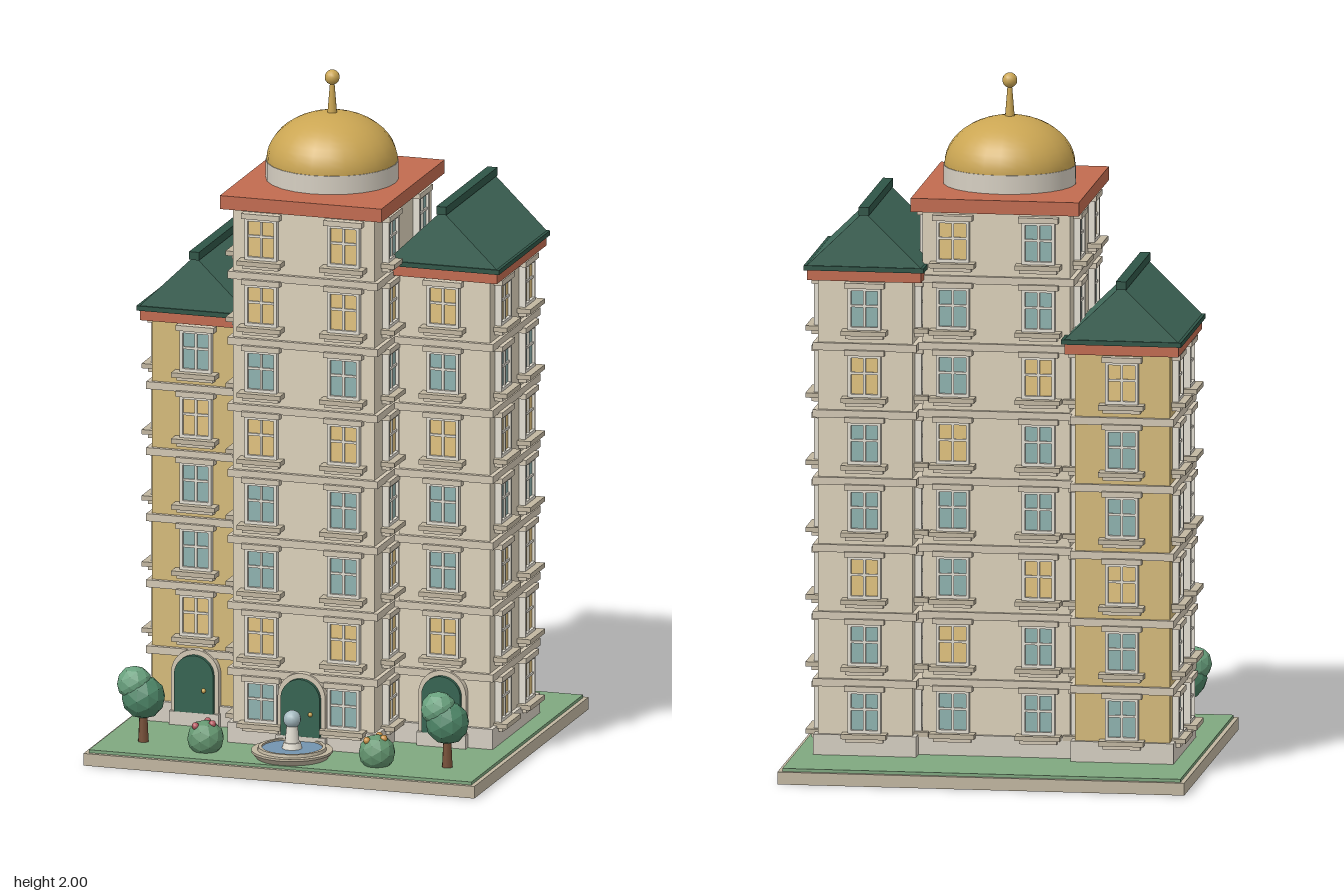
import * as THREE from 'three';

const mat = (color, flatShading = false) => new THREE.MeshStandardMaterial({ color, flatShading });
const M = {
  stone: mat(0xc2b7a1), cream: mat(0xddd2bb), trim: mat(0xd3c8b4), ochre: mat(0xd6bb7b),
  white: mat(0xe4dfd3), plinth: mat(0xd6cfc2), grass: mat(0x80a880), terracotta: mat(0xc26b50),
  roof: mat(0x40695a), ridge: mat(0x2f5547), door: mat(0x356452), gold: mat(0xcba653),
  lit: mat(0xe2c37f), glass: mat(0x8fb3b0), water: mat(0x7394b0), ball: mat(0xa5bac0),
  bark: mat(0x775038), leaf: mat(0x4d8567, true), leafLight: mat(0x69a17e, true),
  bush: mat(0x649670, true), red: mat(0xb85a62), orange: mat(0xcf9648),
};
const GROUND = 0.045, FLOOR0 = 0.06, STOREY = 0.197;

function add(parent, name, geometry, material, x = 0, y = 0, z = 0) {
  const mesh = new THREE.Mesh(geometry, material);
  mesh.name = name;
  mesh.position.set(x, y, z);
  parent.add(mesh);
  return mesh;
}
const box = (parent, name, material, w, h, d, x, y, z) =>
  add(parent, name, new THREE.BoxGeometry(w, h, d), material, x, y, z);
const cyl = (parent, name, material, rTop, rBottom, h, x, y, z, sides = 24) =>
  add(parent, name, new THREE.CylinderGeometry(rTop, rBottom, h, sides), material, x, y, z);
const sphere = (parent, name, material, r, x, y, z, seg = 14) =>
  add(parent, name, new THREE.SphereGeometry(r, seg, seg / 2 + 2), material, x, y, z);
function group(parent, name, x = 0, y = 0, z = 0) {
  const g = new THREE.Group();
  g.name = name;
  g.position.set(x, y, z);
  parent.add(g);
  return g;
}

// Window facing +z, centred on its pane
function makeWindow(parent, lit) {
  const g = group(parent, 'window');
  box(g, 'glass', lit ? M.lit : M.glass, 0.084, 0.114, 0.012, 0, 0, 0.004);
  for (const s of [-1, 1]) {
    box(g, 'frameSide', M.white, 0.009, 0.124, 0.022, s * 0.0435, 0, 0.008);
    box(g, 'frameRail', M.white, 0.09, 0.009, 0.022, 0, s * 0.0575, 0.008);
  }
  box(g, 'mullion', M.white, 0.007, 0.114, 0.014, 0, 0, 0.008);
  box(g, 'crossbar', M.white, 0.084, 0.007, 0.014, 0, 0.008, 0.008);
  box(g, 'lintel', M.trim, 0.116, 0.016, 0.026, 0, 0.068, 0.012);
  box(g, 'sill', M.stone, 0.132, 0.014, 0.042, 0, -0.069, 0.02);
  box(g, 'sillBlock', M.trim, 0.11, 0.012, 0.026, 0, -0.082, 0.012);
  return g;
}

// Arched outline standing on y = 0
function arch(w, h) {
  const s = new THREE.Shape();
  s.moveTo(-w / 2, 0);
  s.lineTo(w / 2, 0);
  s.lineTo(w / 2, h - w / 2);
  s.absarc(0, h - w / 2, w / 2, 0, Math.PI, false);
  s.lineTo(-w / 2, 0);
  return s;
}
const slab = (shape, depth) =>
  new THREE.ExtrudeGeometry(shape, { depth, bevelEnabled: false, curveSegments: 12 });

function makeDoor(parent, z) {
  const g = group(parent, 'archedDoor', 0, 0.085, z);
  add(g, 'doorSurround', slab(arch(0.144, 0.186), 0.027), M.trim, 0, 0, -0.005);
  add(g, 'doorLeaf', slab(arch(0.118, 0.17), 0.039), M.door, 0, 0.001, -0.004);
  sphere(g, 'doorKnob', M.gold, 0.007, 0.032, 0.07, 0.039, 8);
  box(g, 'doorStep', M.plinth, 0.15, 0.04, 0.036, 0, -0.02, 0.014);
}

// Storeyed block with bands, plinth, windows on all sides and a front door
function makeBlock(parent, { name, x, z, w, d, floors, wall, frontXs, sideZs }) {
  const g = group(parent, name, x, 0, z);
  const top = FLOOR0 + floors * STOREY;
  box(g, 'walls', wall, w, top - GROUND, d, 0, (top + GROUND) / 2, 0);
  box(g, 'plinth', M.plinth, w + 0.024, 0.06, d + 0.024, 0, GROUND + 0.03, 0);
  for (let f = 1; f < floors; f++)
    box(g, 'floorBand', M.trim, w + 0.026, 0.022, d + 0.026, 0, FLOOR0 + f * STOREY, 0);

  const litFront = [2, 5, 7, 8], litSide = [1, 2, 3, 5, 7];
  for (let f = 1; f <= floors; f++) {
    const y = FLOOR0 + (f - 0.5) * STOREY + 0.015;
    for (const wx of frontXs) {
      if (f > 1 || wx !== 0) makeWindow(g, litFront.includes(f)).position.set(wx, y, d / 2);
      const back = makeWindow(g, (f + (wx > 0 ? 1 : 0)) % 3 === 0);
      back.position.set(wx, y, -d / 2);
      back.rotation.y = Math.PI;
    }
    for (const wz of sideZs) for (const s of [-1, 1]) {
      const side = makeWindow(g, s > 0 ? litSide.includes(f) : (f + (wz > 0 ? 1 : 0)) % 3 === 0);
      side.position.set(s * w / 2, y, wz);
      side.rotation.y = s * Math.PI / 2;
    }
  }
  makeDoor(g, d / 2);
  return { g, top };
}

// Terracotta cornice and green gable with its ridge along z
function makeGable(g, top) {
  const depth = 0.473, half = 0.166;
  box(g, 'cornice', M.terracotta, 0.332, 0.03, 0.457, 0, top + 0.013, 0);
  box(g, 'eaves', M.ridge, 0.35, 0.014, depth, 0, top + 0.035, 0);
  const tri = new THREE.Shape([[-half, 0], [half, 0], [0, 0.162]].map(p => new THREE.Vector2(...p)));
  add(g, 'gableRoof', slab(tri, depth - 0.01), M.roof, 0, top + 0.042, -depth / 2 + 0.005);
  box(g, 'ridgeBeam', M.ridge, 0.03, 0.024, depth, 0, top + 0.205, 0);
}

function makeTree(parent, x, z) {
  const g = group(parent, 'tree', x, GROUND, z);
  cyl(g, 'trunk', M.bark, 0.011, 0.016, 0.1, 0, 0.05, 0, 8);
  add(g, 'lowerCrown', new THREE.IcosahedronGeometry(0.064, 1), M.leaf, 0, 0.132, 0);
  add(g, 'upperCrown', new THREE.IcosahedronGeometry(0.052, 1), M.leafLight, -0.025, 0.172, 0.005);
}

function makeBush(parent, x, z, flower) {
  const g = group(parent, 'flowerBush', x, GROUND, z);
  add(g, 'foliage', new THREE.IcosahedronGeometry(0.054, 1), M.bush, 0, 0.036, 0);
  for (const [fx, fy, fz] of [[0, 0.081, -0.021], [-0.022, 0.076, 0.026], [0.023, 0.081, 0.006]])
    sphere(g, 'flower', flower, 0.011, fx, fy, fz, 8);
}

function makeFountain(parent, x, z) {
  const g = group(parent, 'fountain', x, GROUND, z);
  const rim = [[0, 0], [0.105, 0], [0.118, 0.016], [0.118, 0.022], [0.1, 0.022], [0.098, 0.031],
    [0.088, 0.031], [0.088, 0.012]].map(p => new THREE.Vector2(...p));
  const basin = M.stone.clone();
  basin.flatShading = true;
  add(g, 'basin', new THREE.LatheGeometry(rim, 28), basin);
  cyl(g, 'water', M.water, 0.089, 0.089, 0.012, 0, 0.02, 0);
  cyl(g, 'pedestalFoot', M.white, 0.025, 0.03, 0.02, 0, 0.034, 0, 14);
  cyl(g, 'pedestal', M.white, 0.016, 0.022, 0.06, 0, 0.066, 0, 14);
  sphere(g, 'waterBall', M.ball, 0.026, 0, 0.112, 0);
}

export function createModel() {
  const model = new THREE.Group();
  model.name = 'apartmentTower';

  // Grounds
  box(model, 'baseSlab', M.stone, 1.186, 0.036, 1.055, 0, 0.018, 0);
  box(model, 'lawn', M.grass, 1.16, 0.02, 1.03, 0, GROUND - 0.01, 0);

  // Central tower with domed roof
  const tower = makeBlock(model, {
    name: 'centralTower', x: 0, z: 0.035, w: 0.43, d: 0.524, floors: 8, wall: M.cream,
    frontXs: [-0.125, 0.125], sideZs: [-0.14, 0.14],
  });
  box(tower.g, 'roofSlab', M.terracotta, 0.49, 0.04, 0.584, 0, tower.top + 0.022, 0);
  cyl(tower.g, 'domeDrum', M.plinth, 0.192, 0.192, 0.055, 0, 1.705, 0);
  const dome = add(tower.g, 'dome',
    new THREE.SphereGeometry(0.19, 24, 12, 0, Math.PI * 2, 0, Math.PI / 2), M.gold, 0, 1.731, 0);
  dome.scale.y = 0.755;
  cyl(tower.g, 'spire', M.gold, 0.006, 0.015, 0.11, 0, 1.915, 0, 12);
  sphere(tower.g, 'finial', M.gold, 0.022, 0, 1.978, 0);

  // Side wings of unequal height
  for (const [name, x, floors, wall] of [['rightWing', -0.375, 6, M.ochre], ['leftWing', 0.375, 7, M.cream]]) {
    const wing = makeBlock(model, {
      name, x, z: -0.067, w: 0.276, d: 0.413, floors, wall, frontXs: [0], sideZs: [-0.11, 0.11],
    });
    makeGable(wing.g, wing.top);
  }

  // Garden
  for (const s of [-1, 1]) {
    makeTree(model, s * 0.461, 0.375);
    makeBush(model, s * 0.26, 0.413, s < 0 ? M.red : M.orange);
  }
  makeFountain(model, 0, 0.405);
  return model;
}
